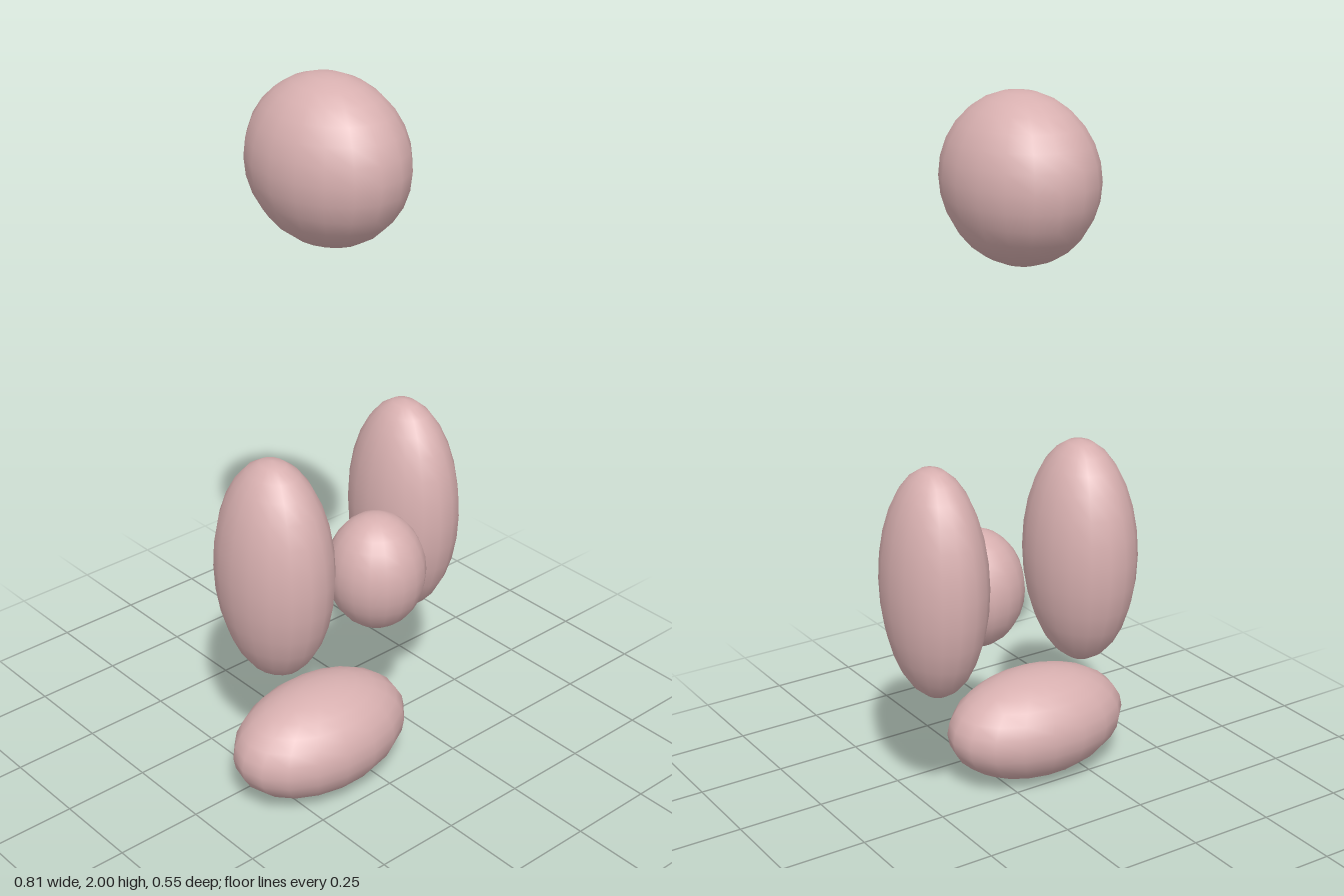
import * as THREE from 'three';

export function createModel() {
  const model = new THREE.Group();
  model.name = 'organs';

  const pink = new THREE.MeshStandardMaterial({ color: 0xd8b0b0 });
  pink.name = 'tissuePink';

  // One smooth unit sphere, scaled into every organ
  const sphere = new THREE.SphereGeometry(1, 18, 14);

  // name, centre, radii
  const organs = [
    ['brain', [0.017, 1.777, -0.036], [0.191, 0.223, 0.244]],
    ['rightLung', [-0.22, 0.694, 0.017], [0.148, 0.327, 0.188]],
    ['leftLung', [0.267, 0.71, 0], [0.136, 0.327, 0.181]],
    ['heart', [0.07, 0.617, 0.106], [0.138, 0.171, 0.14]],
    ['liver', [-0.127, 0.159, 0.096], [0.28, 0.157, 0.18]],
  ];

  for (const [name, centre, radii] of organs) {
    const mesh = new THREE.Mesh(sphere, pink);
    mesh.name = name;
    mesh.position.set(...centre);
    mesh.scale.set(...radii);
    model.add(mesh);
  }
  return model;
}
